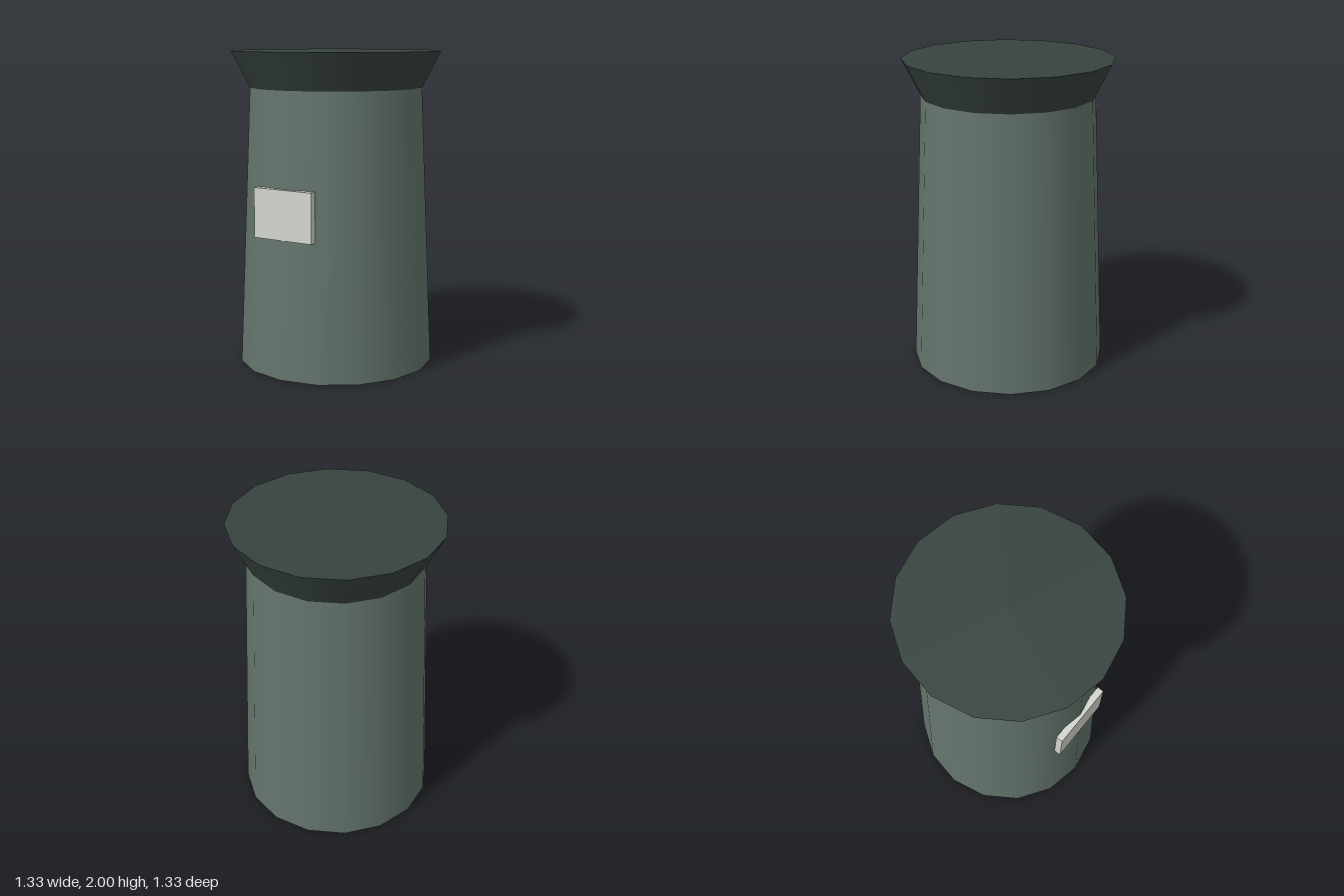
import * as THREE from 'three';

const SIDES = 16;

function addPart(group, name, geometry, color, x, y, z) {
  const mesh = new THREE.Mesh(geometry, new THREE.MeshStandardMaterial({ color }));
  mesh.name = name;
  mesh.position.set(x, y, z);
  group.add(mesh);
}

export function createModel() {
  const group = new THREE.Group();
  group.name = 'taperedCanister';

  const bodyHeight = 1.77;
  const rimHeight = 2 - bodyHeight;

  // Tapered body, wider at the base
  addPart(group, 'body', new THREE.CylinderGeometry(0.55, 0.627, bodyHeight, SIDES),
    0x64746c, 0, bodyHeight / 2, 0);

  // Flared rim with a flat top
  addPart(group, 'flaredRim', new THREE.CylinderGeometry(0.666, 0.55, rimHeight, SIDES),
    0x37433f, 0, bodyHeight + rimHeight / 2, 0);

  // Flat plate set into the front of the body
  addPart(group, 'frontPlate', new THREE.BoxGeometry(0.42, 0.31, 0.044),
    0xd4d7d0, 0, 1.024, 0.572);

  return group;
}
